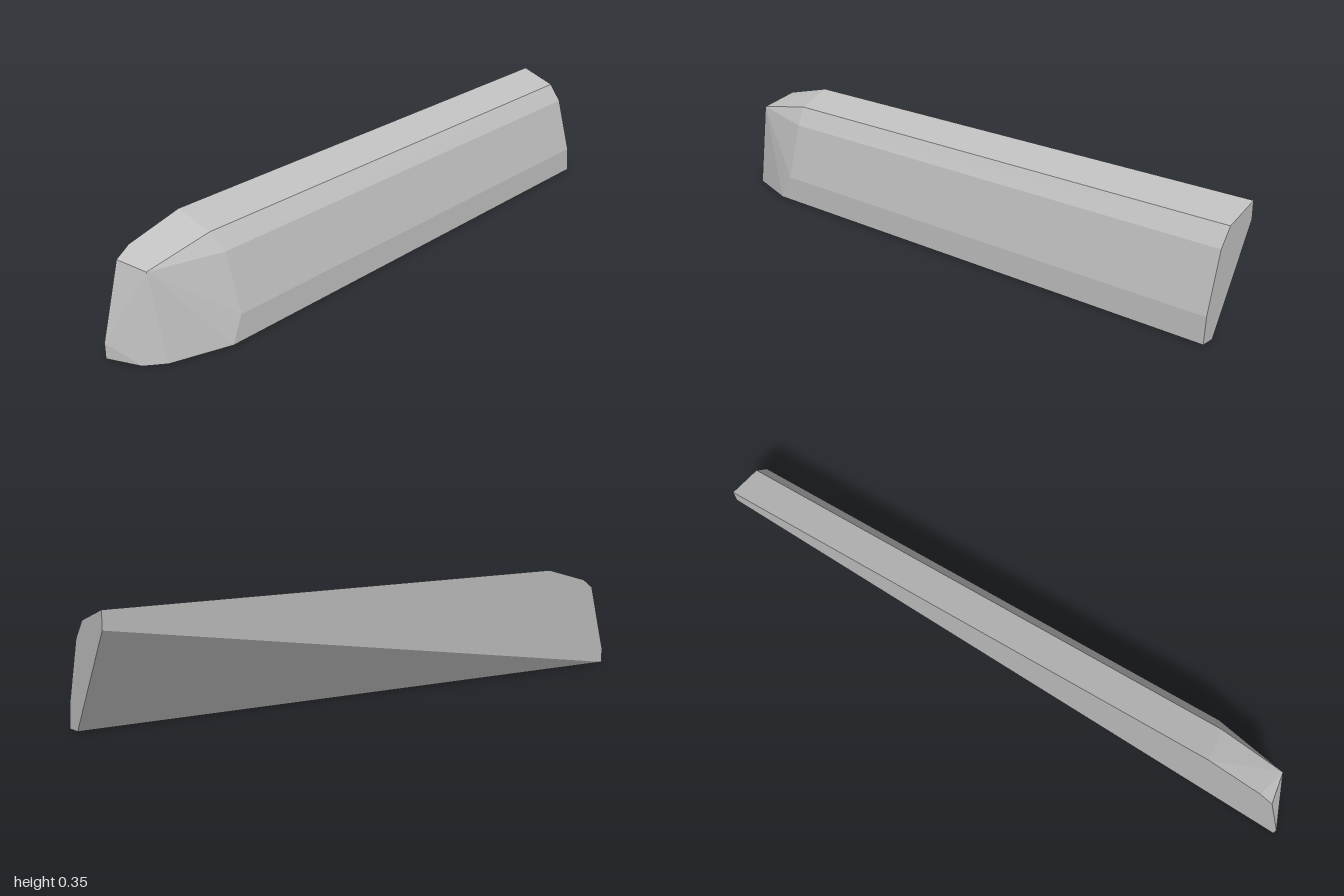
import * as THREE from 'three';
import { ConvexGeometry } from 'three/addons/geometries/ConvexGeometry.js';

const BACK = -0.106;

export function createModel() {
  const group = new THREE.Group();
  group.name = 'facetedBar';
  const grey = new THREE.MeshStandardMaterial({ color: 0xc0c0c0, flatShading: true });
  grey.name = 'plain grey';

  // Long ridges from the nose shoulder to the square end: [start x, y, z]
  const ridges = [
    [-0.71, 0.355, BACK],
    [-0.70, 0.315, 0.01],
    [-0.68, 0.26, 0.05],
    [-0.68, 0.08, 0.1],
    [-0.72, 0, 0.106],
  ];
  const corners = ridges.flatMap(([x, y, z]) => [[x, y, z], [1, y, z]]);

  // Slanted cut across the back, from the square end to the foot of the nose
  corners.push([1, 0.3, BACK], [1, 0, 0.06], [-1, 0, BACK]);

  // Bevelled nose: back outline, base outline and top corner
  corners.push([-1, 0.05, BACK], [-0.935, 0.28, BACK], [-0.89, 0.31, BACK]);
  corners.push([-0.96, 0, 0], [-0.905, 0, 0.045], [-0.92, 0.272, 0]);

  const bar = new THREE.Mesh(
    new ConvexGeometry(corners.map((c) => new THREE.Vector3(...c))),
    grey,
  );
  bar.name = 'bar';
  group.add(bar);
  return group;
}
